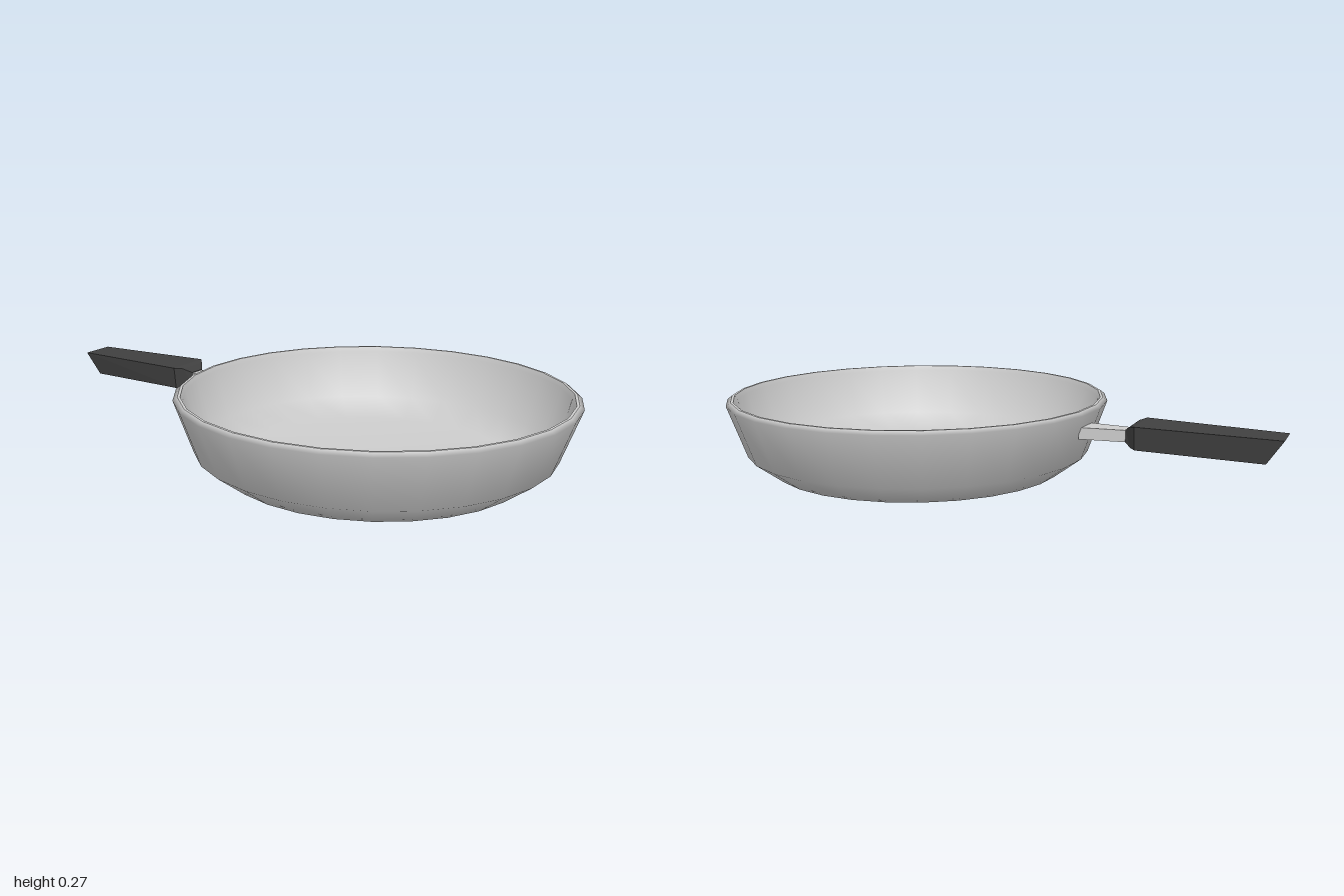
import * as THREE from 'three';

const metal = new THREE.MeshStandardMaterial({ color: 0xcccccc });
const stemMetal = new THREE.MeshStandardMaterial({ color: 0xcccccc, flatShading: true });
const dark = new THREE.MeshStandardMaterial({ color: 0x404040, flatShading: true });

// One smooth band of the pan, turned from [radius, y] pairs
function turned(name, profile) {
  const points = profile.map(([r, y]) => new THREE.Vector2(r, y));
  const mesh = new THREE.Mesh(new THREE.LatheGeometry(points, 28), metal);
  mesh.name = name;
  return mesh;
}

// Four-cornered section across x: the underside is inset at both sides
// and shifted along x by lean
function section(x, y0, y1, z0, z1, inset, lean = 0) {
  return [
    [x, y1, z0], [x, y1, z1],
    [x + lean, y0, z1 - inset], [x + lean, y0, z0 + inset],
  ];
}

// Capped loft along x through the sections
function loft(name, rings, material) {
  const n = rings[0].length;
  const last = (rings.length - 1) * n;
  const index = [];
  for (let s = 0; s < last; s += n) {
    for (let i = 0; i < n; i++) {
      const a = s + i, b = s + (i + 1) % n;
      index.push(a, b, b + n, a, b + n, a + n);
    }
  }
  for (let i = 1; i < n - 1; i++) {
    index.push(0, i + 1, i, last, last + i, last + i + 1);
  }
  const geometry = new THREE.BufferGeometry();
  geometry.setAttribute('position', new THREE.Float32BufferAttribute(rings.flat(2), 3));
  geometry.setIndex(index);
  geometry.computeVertexNormals();
  const mesh = new THREE.Mesh(geometry, material);
  mesh.name = name;
  return mesh;
}

export function createModel() {
  const model = new THREE.Group();
  model.name = 'fryingPan';

  // Pan body: base and outer wall up to the bevelled rim, then the inside
  const pan = new THREE.Group();
  pan.name = 'pan';
  pan.position.x = 0.32;
  pan.rotation.y = 0.02;
  pan.add(
    turned('outside', [[0, 0], [0.52, 0], [0.615, 0.07], [0.682, 0.255], [0.666, 0.267]]),
    turned('rim', [[0.666, 0.267], [0.657, 0.267]]),
    turned('inside', [[0.657, 0.267], [0.65, 0.25], [0.598, 0.08], [0.495, 0.02], [0, 0.02]]),
  );
  model.add(pan);

  // Metal stem joining the pan and the grip
  model.add(loft('stem', [
    section(-0.5, 0.17, 0.21, -0.097, -0.043, 0),
    section(-0.325, 0.17, 0.21, -0.112, -0.018, 0),
  ], stemMetal));

  // Tapered grip with a slanted rear end and a chamfered nose
  model.add(loft('grip', [
    section(-1, 0.147, 0.228, -0.155, -0.03, 0.01, 0.055),
    section(-0.525, 0.156, 0.235, -0.155, 0.016, 0.01),
    section(-0.505, 0.158, 0.23, -0.132, -0.01, 0.01),
    section(-0.482, 0.17, 0.212, -0.1, -0.04, 0),
  ], dark));

  return model;
}
